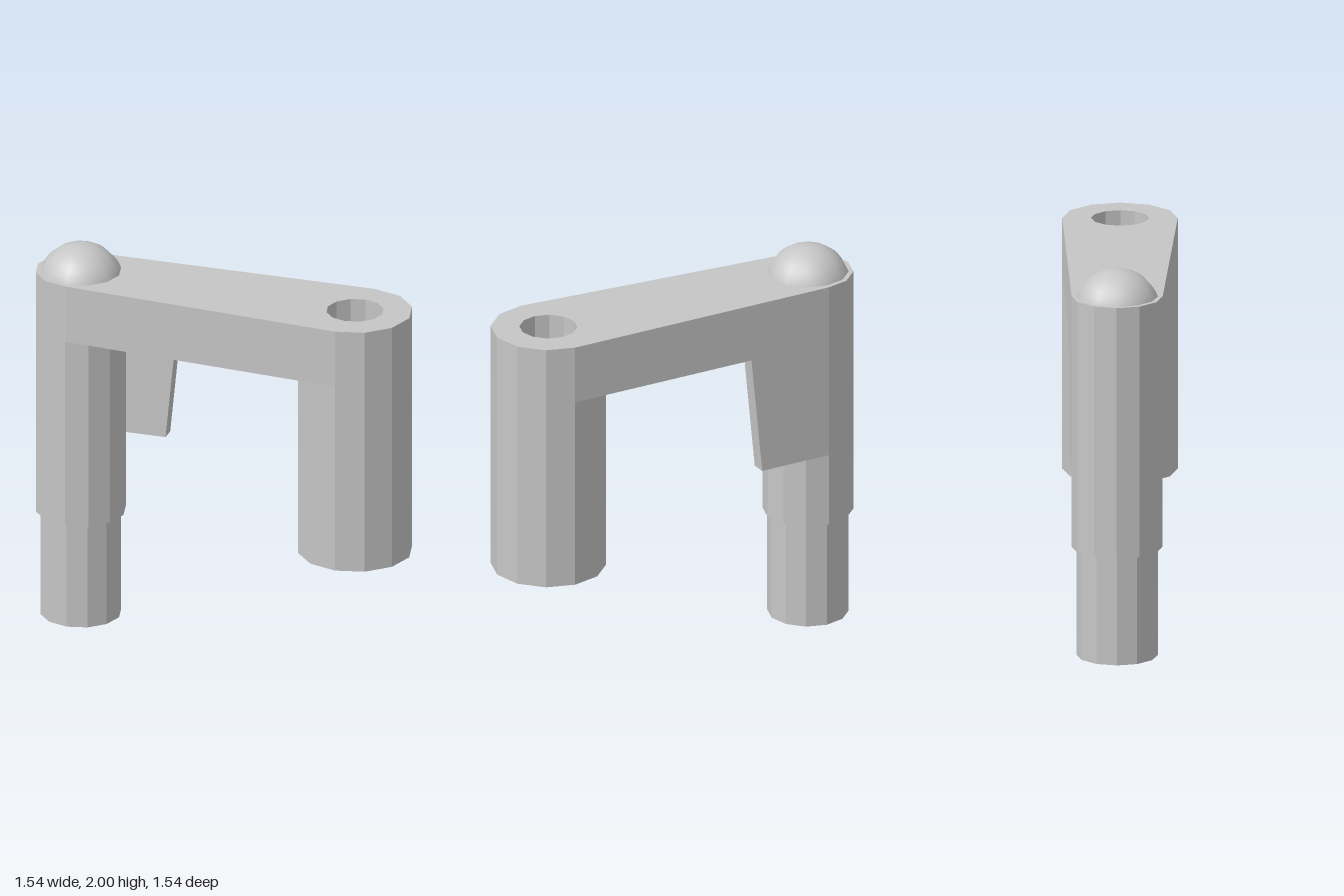
import * as THREE from 'three';

const SMALL = [-0.55, -0.55]; // x, z of the pin post
const LARGE = [0.486, 0.486]; // x, z of the bored post
const R_SMALL = 0.228, R_LARGE = 0.289, R_PIN = 0.204, R_BORE = 0.145;

// Corners of a twelve-sided ring with flats on the axes, as (x, -z), from step a to step b
function ring([x, z], r, a = 0, b = 11) {
  const pts = [];
  for (let i = a; i <= b; i++) {
    const t = Math.PI / 12 + i * Math.PI / 6;
    pts.push(new THREE.Vector2(x + r * Math.cos(t), -z + r * Math.sin(t)));
  }
  return pts;
}

// Upright prism from a plan outline, with an optional bore
function prism(outline, y0, y1, hole) {
  const shape = new THREE.Shape(outline);
  if (hole) shape.holes.push(new THREE.Path(hole));
  const geo = new THREE.ExtrudeGeometry(shape, { depth: y1 - y0, bevelEnabled: false });
  return geo.rotateX(-Math.PI / 2).translate(0, y0, 0);
}

export function createModel() {
  const group = new THREE.Group();
  const grey = new THREE.MeshStandardMaterial({ color: 0xc6c6c6 });
  grey.name = 'grey';
  const add = (name, geo) => {
    const mesh = new THREE.Mesh(geo, grey);
    mesh.name = name;
    group.add(mesh);
  };
  const bore = ring(LARGE, R_BORE);

  // Link arm: the hull around both posts
  const outline = [...ring(LARGE, R_LARGE, 7, 13), ...ring(SMALL, R_SMALL, 1, 7)];
  add('linkArm', prism(outline, 1.56, 1.86, bore));

  // Posts and the pin
  add('boredPost', prism(ring(LARGE, R_LARGE), 0.56, 1.56, bore));
  add('pinPost', prism(ring(SMALL, R_SMALL), 0.56, 1.56));
  add('pin', prism(ring(SMALL, R_PIN), 0, 0.56));

  // Domed pin head
  const capH = 0.14;
  const capR = (R_PIN ** 2 + capH ** 2) / (2 * capH);
  const dome = new THREE.SphereGeometry(capR, 12, 8, Math.PI / 12, Math.PI * 2, 0, Math.acos(1 - capH / capR));
  add('pinHead', dome.translate(SMALL[0], 2 - capR, SMALL[1]));

  // Thin web flush with one side of the arm, its free end sloping
  const a = ring(SMALL, R_SMALL, 1, 1)[0];
  const b = ring(LARGE, R_LARGE, 1, 1)[0];
  const dx = b.x - a.x, dz = a.y - b.y;
  const web = new THREE.BoxGeometry(1, 1, 1).translate(0.5, 0.5, 0.5);
  const p = web.attributes.position;
  const len = Math.hypot(dx, dz), ux = dx / len, uz = dz / len;
  for (let i = 0; i < p.count; i++) {
    const s = p.getX(i) * (p.getY(i) > 0.5 ? 0.448 : 0.386);
    const t = p.getZ(i) * 0.075;
    p.setXYZ(i, a.x + ux * s - uz * t, 0.94 + p.getY(i) * 0.62, -a.y + uz * s + ux * t);
  }
  web.computeVertexNormals();
  add('web', web);

  return group;
}
